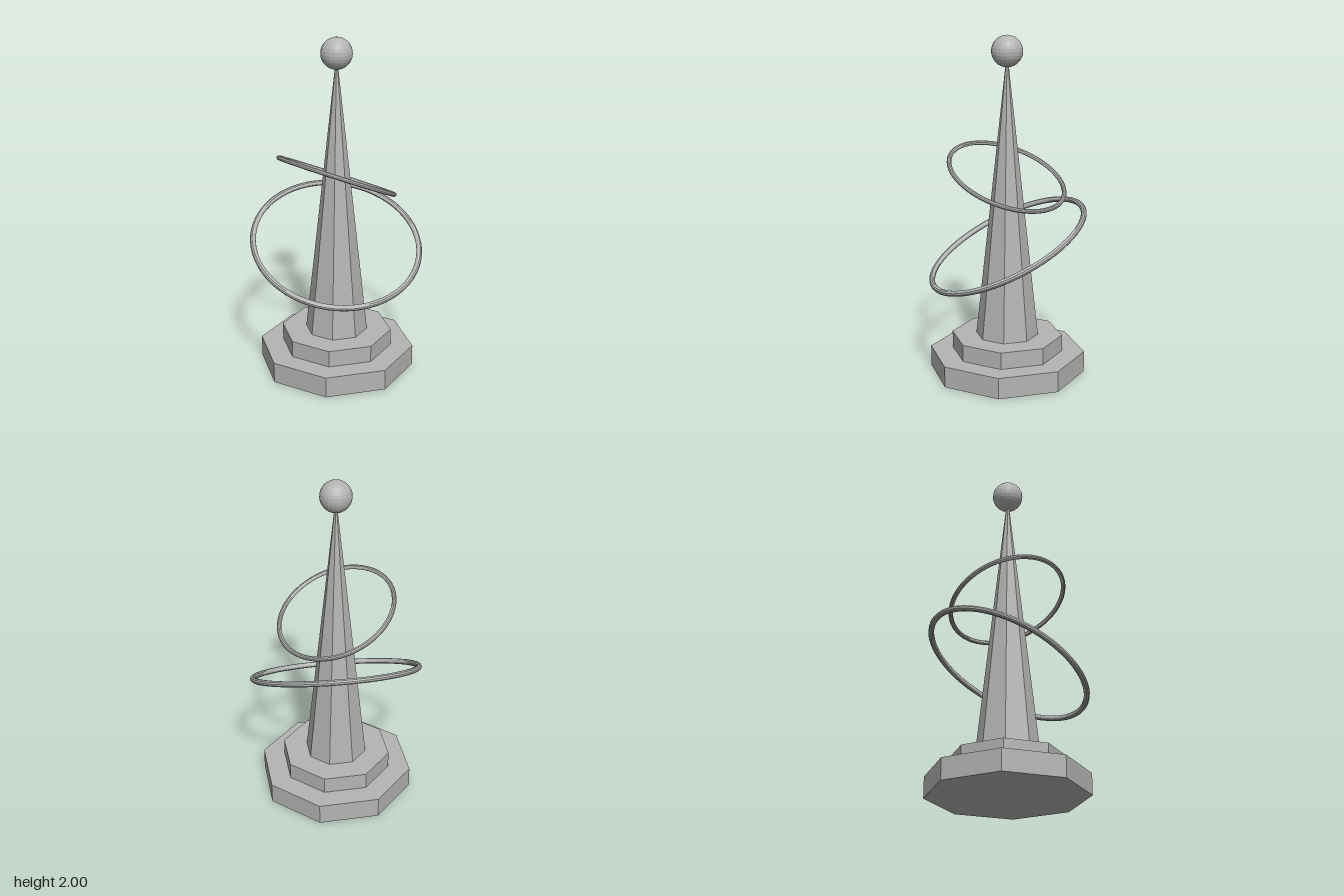
import * as THREE from 'three';

export function createModel() {
  const model = new THREE.Group();
  model.name = 'ringedSpire';
  const stone = new THREE.MeshStandardMaterial({ color: 0xb4b4b4, flatShading: true });
  stone.name = 'plain grey';

  const add = (name, geometry, y) => {
    const mesh = new THREE.Mesh(geometry, stone);
    mesh.name = name;
    mesh.position.y = y;
    model.add(mesh);
    return mesh;
  };

  // Octagonal tiers: name, top radius, bottom radius, bottom y, top y
  const tiers = [
    ['lowerStep', 0.463, 0.463, 0, 0.125],
    ['upperStep', 0.33, 0.33, 0.125, 0.225],
    ['spire', 0.007, 0.185, 0.225, 1.85],
  ];
  for (const [name, top, bottom, y0, y1] of tiers) {
    add(name, new THREE.CylinderGeometry(top, bottom, y1 - y0, 8), (y0 + y1) / 2);
  }

  // Ball on the tip
  add('finialBall', new THREE.SphereGeometry(0.091, 20, 14), 1.909);

  // Tilted rings: name, radius, tube radius, centre height, axis
  const rings = [
    ['lowerRing', 0.493, 0.017, 0.777, [0.164, 0.894, 0.416]],
    ['upperRing', 0.349, 0.0135, 1.19, [0.263, 0.907, -0.328]],
  ];
  const zAxis = new THREE.Vector3(0, 0, 1);
  for (const [name, radius, tube, y, axis] of rings) {
    const ring = add(name, new THREE.TorusGeometry(radius, tube, 10, 64), y);
    ring.quaternion.setFromUnitVectors(zAxis, new THREE.Vector3(...axis).normalize());
  }
  return model;
}
